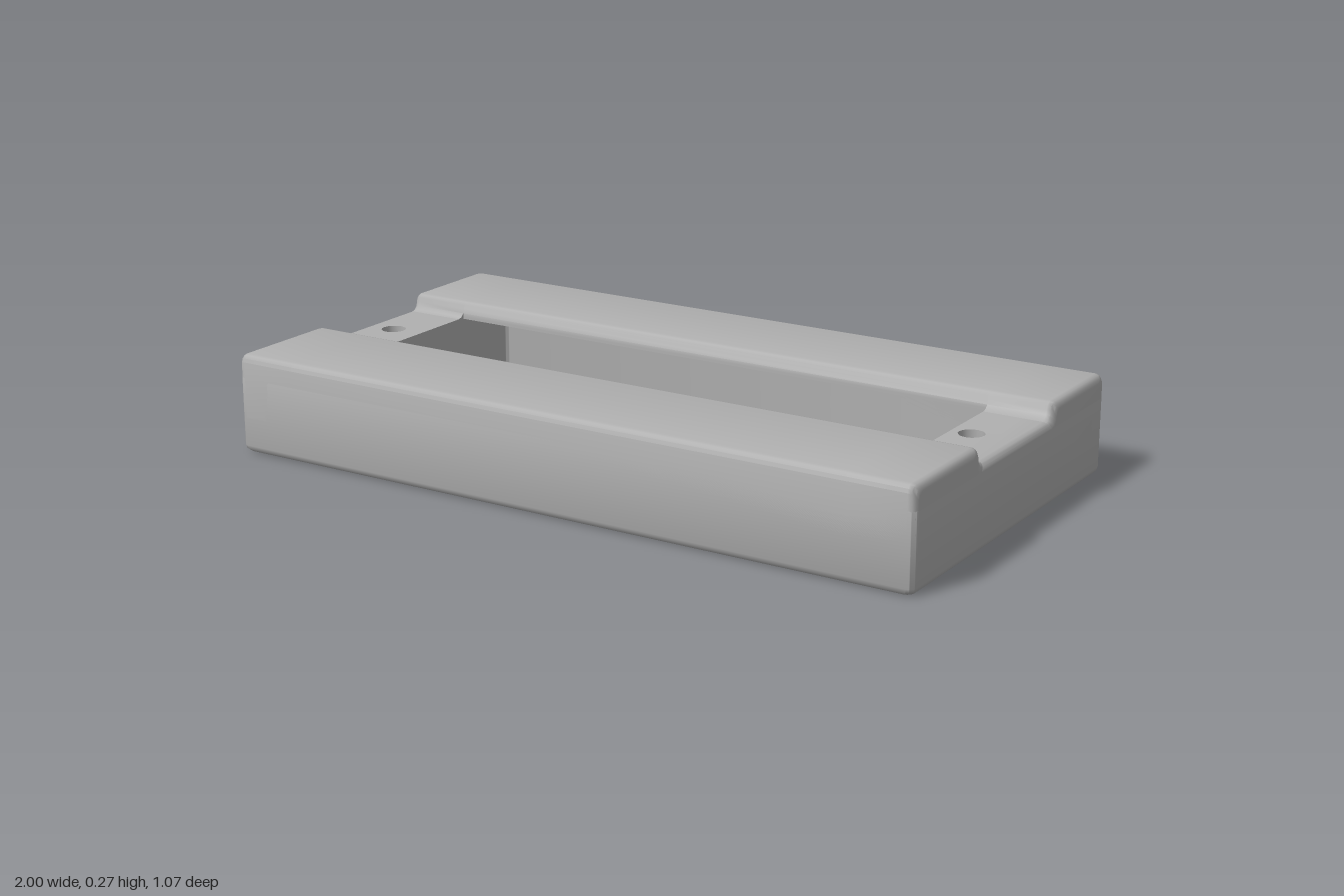
import * as THREE from 'three';
import { toCreasedNormals } from 'three/addons/utils/BufferGeometryUtils.js';

const HX = 1, HZ = 0.533, TOP = 0.27, FLOOR = 0.225; // half sizes, bar top, channel floor
const CX = 0.82, CZ = 0.42, R = 0.02;                // cavity half sizes, edge radius
const QUARTER = [0, 1, 2, 3].map(i => i * Math.PI / 6);
const CREASE = 0.7;

function roundedRect(target, hx, hz, r) {
  target.absarc(hx - r, hz - r, r, 0, Math.PI / 2);
  target.absarc(-hx + r, hz - r, r, Math.PI / 2, Math.PI);
  target.absarc(-hx + r, -hz + r, r, Math.PI, Math.PI * 1.5);
  target.absarc(hx - r, -hz + r, r, Math.PI * 1.5, Math.PI * 2);
  target.closePath();
  return target;
}

// Lower frame: a plan outline with the cavity and screw holes, edges rounded layer by layer
function frameGeometry() {
  const shape = roundedRect(new THREE.Shape(), HX, HZ, R);
  shape.holes.push(roundedRect(new THREE.Path(), CX, CZ, 0.02));
  const hole = (x, z) => shape.holes.push(new THREE.Path().absarc(x, -z, 0.034, 0, Math.PI * 2));
  hole(0.875, -0.012);
  hole(-0.912, -0.012);
  for (const x of [-0.892, 0.875]) for (const z of [-0.448, 0.43]) hole(x, z);

  const low = QUARTER.map(a => [R * (1 - Math.cos(a)), R * (1 - Math.sin(a))]);
  const layers = [...low, ...low.map(([y, d]) => [FLOOR - y, d]).reverse()];
  const geo = new THREE.ExtrudeGeometry(shape, {
    depth: layers.length - 1, steps: layers.length - 1, bevelEnabled: false, curveSegments: 8,
  });
  const p = geo.attributes.position;
  for (let i = 0; i < p.count; i++) {
    const x = p.getX(i), y = p.getY(i);
    const [h, d] = layers[Math.round(p.getZ(i))];
    const outer = Math.abs(x) > 0.965 || Math.abs(y) > 0.5;
    const sx = outer ? (HX - d) / HX : 1, sz = outer ? (HZ - d) / HZ : 1;
    p.setXYZ(i, x * sx, h, -y * sz);
  }
  return toCreasedNormals(geo, CREASE);
}

// Bar cross-section as (z, y); inset d rounds the ends, hollow leaves only the roof and wall
function barSection(step, d, hollow) {
  const f = 0.025, under = hollow ? 0.222 : 0.1;
  const pts = [[HZ - d, 0.098]];
  for (const a of QUARTER)
    pts.push([HZ - R + R * Math.cos(a) - d, TOP - R + R * Math.sin(a) - d]);
  for (const a of QUARTER)
    pts.push([step + R - R * Math.sin(a) + d, TOP - R + R * Math.cos(a) - d]);
  for (const a of QUARTER) {
    const z = step - f + f * Math.cos(a) + d;
    pts.push([hollow ? Math.max(z, step - 0.004) : z, FLOOR + f - f * Math.sin(a) - d]);
  }
  pts.push([pts[pts.length - 1][0], under], [CZ, under], [CZ, 0.098]);
  return pts;
}

// Raised bar lofted along x, solid at the ends and hollow over the cavity
function barGeometry(step) {
  const end = QUARTER.map(a => [HX - R * (1 - Math.cos(a)), R * (1 - Math.sin(a)), false]);
  const half = [...end, [CX, 0, false], [CX, 0, true]];
  const stations = [...half.map(([x, d, h]) => [-x, d, h]), ...half.slice().reverse()];
  const sections = stations.map(([, d, h]) => barSection(step, d, h));
  const n = sections[0].length, pos = [], index = [];
  sections.forEach((s, i) => s.forEach(([z, y]) => pos.push(stations[i][0], y, z)));
  for (let i = 0; i < stations.length - 1; i++) {
    for (let j = 0; j < n; j++) {
      const a = i * n + j, b = i * n + (j + 1) % n;
      index.push(a, a + n, b, b, a + n, b + n);
    }
  }
  const last = (stations.length - 1) * n;
  const outline = sections[0].map(([z, y]) => new THREE.Vector2(z, y));
  for (const [a, b, c] of THREE.ShapeUtils.triangulateShape(outline, [])) {
    index.push(a, b, c, last + a, last + c, last + b);
  }
  const geo = new THREE.BufferGeometry();
  geo.setAttribute('position', new THREE.Float32BufferAttribute(pos, 3));
  geo.setIndex(index);
  return toCreasedNormals(geo, CREASE);
}

export function createModel() {
  const group = new THREE.Group();
  group.name = 'mountingBezel';
  const grey = new THREE.MeshStandardMaterial({ color: 0xb0b0b0 });
  grey.name = 'grey';
  const add = (name, geo) => {
    const mesh = new THREE.Mesh(geo, grey);
    mesh.name = name;
    group.add(mesh);
    return mesh;
  };
  add('lowerFrame', frameGeometry());
  add('frontBar', barGeometry(0.195));
  add('backBar', barGeometry(0.217)).rotation.y = Math.PI;
  return group;
}
